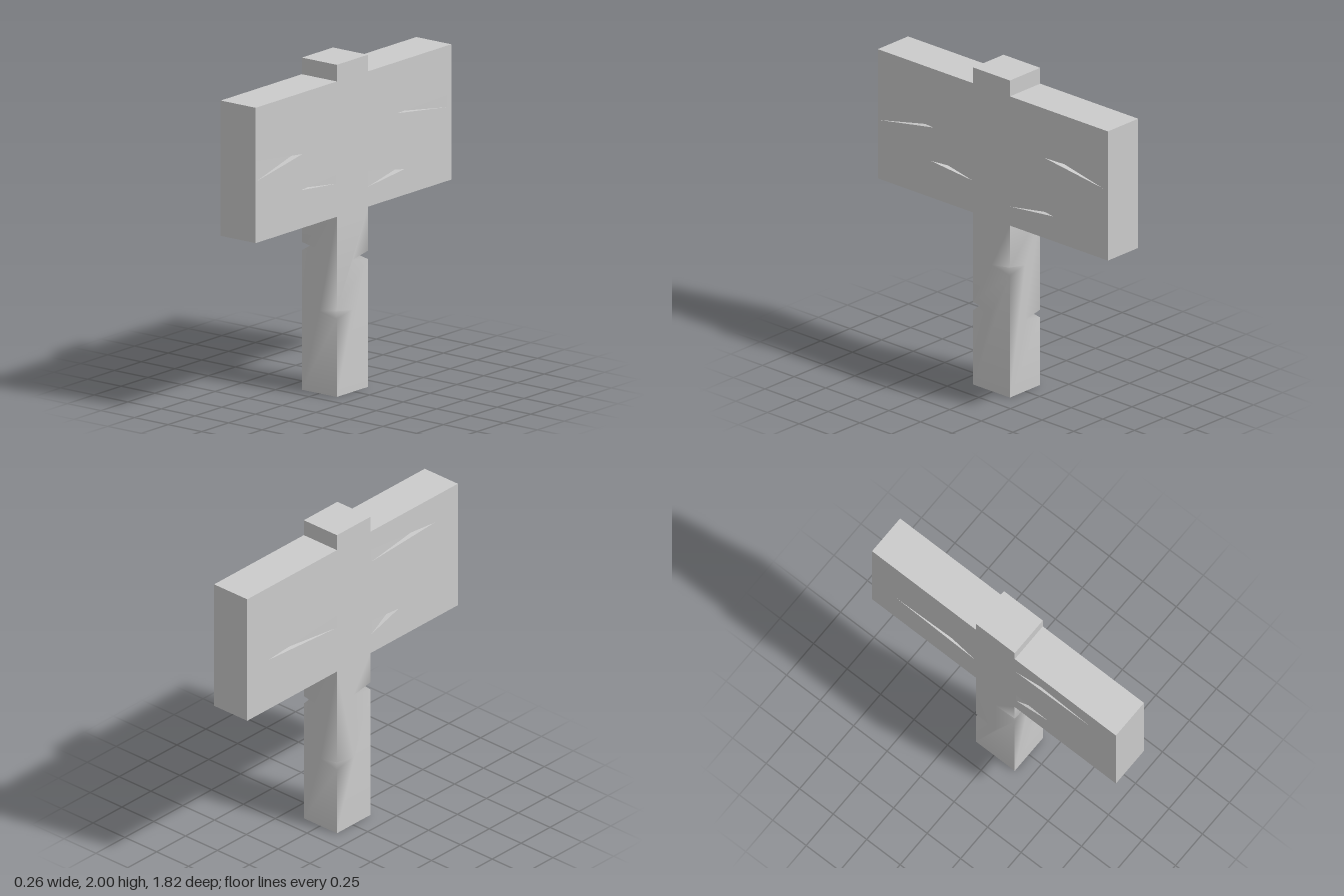
import * as THREE from 'three';

const W = 0.13, Z0 = -0.135, Z1 = 0.155, END = 0.91;
const BOTTOM = 1.085, TOP = 1.9, CAP = 2, CUT = 0.05;
const material = new THREE.MeshStandardMaterial({ color: 0xcccccc });

function makeMesh(name, points, index) {
  const g = new THREE.BufferGeometry();
  g.setAttribute('position', new THREE.Float32BufferAttribute(points.flat(), 3));
  if (index) g.setIndex(index);
  g.computeVertexNormals();
  const mesh = new THREE.Mesh(g, material);
  mesh.name = name;
  return mesh;
}

// Board and post top as one outline in [z, y], open where the post enters
const outline = [
  [Z0, BOTTOM], [-END, BOTTOM], [-END, TOP], [Z0, TOP], [Z0, CAP],
  [Z1, CAP], [Z1, TOP], [END, TOP], [END, BOTTOM], [Z1, BOTTOM],
];

// Wedge cuts per side: mouth z, mouth upper y, mouth lower y, tip z, tip y
const leftCuts = [
  [0.905, 1.575, 1.455, 0.475, 1.53],
  [0.16, 1.34, 1.285, 0.49, 1.315],
  [-0.135, 1.3, 1.205, -0.475, 1.24],
  [-0.87, 1.605, 1.53, -0.41, 1.59],
];
const rightCuts = [
  [-0.14, 1.46, 1.38, -0.73, 1.415],
  [0.165, 1.3, 1.21, 0.4, 1.28],
  [0.16, 1.78, 1.695, 0.71, 1.725],
];

// One broad face with its wedge cuts, built facing +z and turned to side s
function boardFace(s, cuts) {
  const group = new THREE.Group();
  group.name = s > 0 ? 'leftBoardFace' : 'rightBoardFace';
  const shape = new THREE.Shape(outline.map(([z, y]) => new THREE.Vector2(-s * z, y)));
  const tris = [];
  for (const [mz, yu, yl, tz, ty] of cuts) {
    const t = [-s * tz, ty, W], deep = [-s * tz, ty, W - CUT];
    let a = [-s * mz, yu, W], b = [-s * mz, yl, W];
    if (t[0] < a[0]) [a, b] = [b, a];
    shape.holes.push(new THREE.Path([a, b, t].map(p => new THREE.Vector2(p[0], p[1]))));
    // sloping floor and two walls
    tris.push(a, b, deep, a, deep, t, deep, b, t);
  }
  const plate = new THREE.Mesh(new THREE.ShapeGeometry(shape).translate(0, 0, W), material);
  plate.name = 'boardPlate';
  group.add(plate, makeMesh('woodCuts', tris));
  group.rotation.y = s * Math.PI / 2;
  return group;
}

function boardEdges() {
  const tris = [];
  for (let i = 0; i < outline.length - 1; i++) {
    const [p, q] = [outline[i], outline[i + 1]];
    const at = (x, [z, y]) => [x, y, z];
    tris.push(at(W, q), at(W, p), at(-W, p), at(W, q), at(-W, p), at(-W, q));
  }
  return makeMesh('boardEdges', tris);
}

// Lower post: each corner has one notch running to the middle of both faces.
// Notch points are shared between faces so the shading softens around them.
function lowerPost() {
  const corners = [[-W, Z1], [W, Z1], [W, Z0], [-W, Z0]];
  const notchY = [0.865, 0.495, 0.795, 0.45];
  const half = 0.025, inset = 0.04, mid = (Z0 + Z1) / 2;
  const points = [], index = [];
  const add = (x, y, z) => points.push([x, y, z]) - 1;
  const middle = (i) => {
    const a = corners[i], b = corners[(i + 1) % 4];
    return [(a[0] + b[0]) / 2, (a[1] + b[1]) / 2];
  };

  const notches = corners.map(([x, z], i) => {
    const y = notchY[i], l = middle((i + 3) % 4), r = middle(i);
    const n = {
      up: add(x, y + half, z),
      low: add(x, y - half, z),
      left: add(l[0], y, l[1]),
      right: add(r[0], y, r[1]),
      deep: add(x - Math.sign(x) * inset, y, z - Math.sign(z - mid) * inset),
    };
    index.push(n.left, n.deep, n.up, n.deep, n.right, n.up);
    index.push(n.left, n.low, n.deep, n.low, n.right, n.deep);
    return n;
  });

  corners.forEach((a, i) => {
    const j = (i + 1) % 4, b = corners[j], A = notches[i], B = notches[j];
    const loop = [
      add(a[0], 0, a[1]), add(b[0], 0, b[1]), B.low, B.left, B.up,
      add(b[0], BOTTOM, b[1]), add(a[0], BOTTOM, a[1]), A.up, A.right, A.low,
    ];
    const flat = loop.map(k => new THREE.Vector2(
      Math.hypot(points[k][0] - a[0], points[k][2] - a[1]), points[k][1]));
    for (const f of THREE.ShapeUtils.triangulateShape(flat, [])) {
      index.push(...f.map(k => loop[k]));
    }
  });

  // underside
  const u = corners.map(([x, z]) => add(x, 0, z));
  index.push(u[0], u[2], u[1], u[0], u[3], u[2]);
  return makeMesh('post', points, index);
}

export function createModel() {
  const model = new THREE.Group();
  model.name = 'woodenSign';
  const board = new THREE.Group();
  board.name = 'board';
  board.add(boardFace(1, leftCuts), boardFace(-1, rightCuts), boardEdges());
  model.add(board, lowerPost());
  return model;
}
